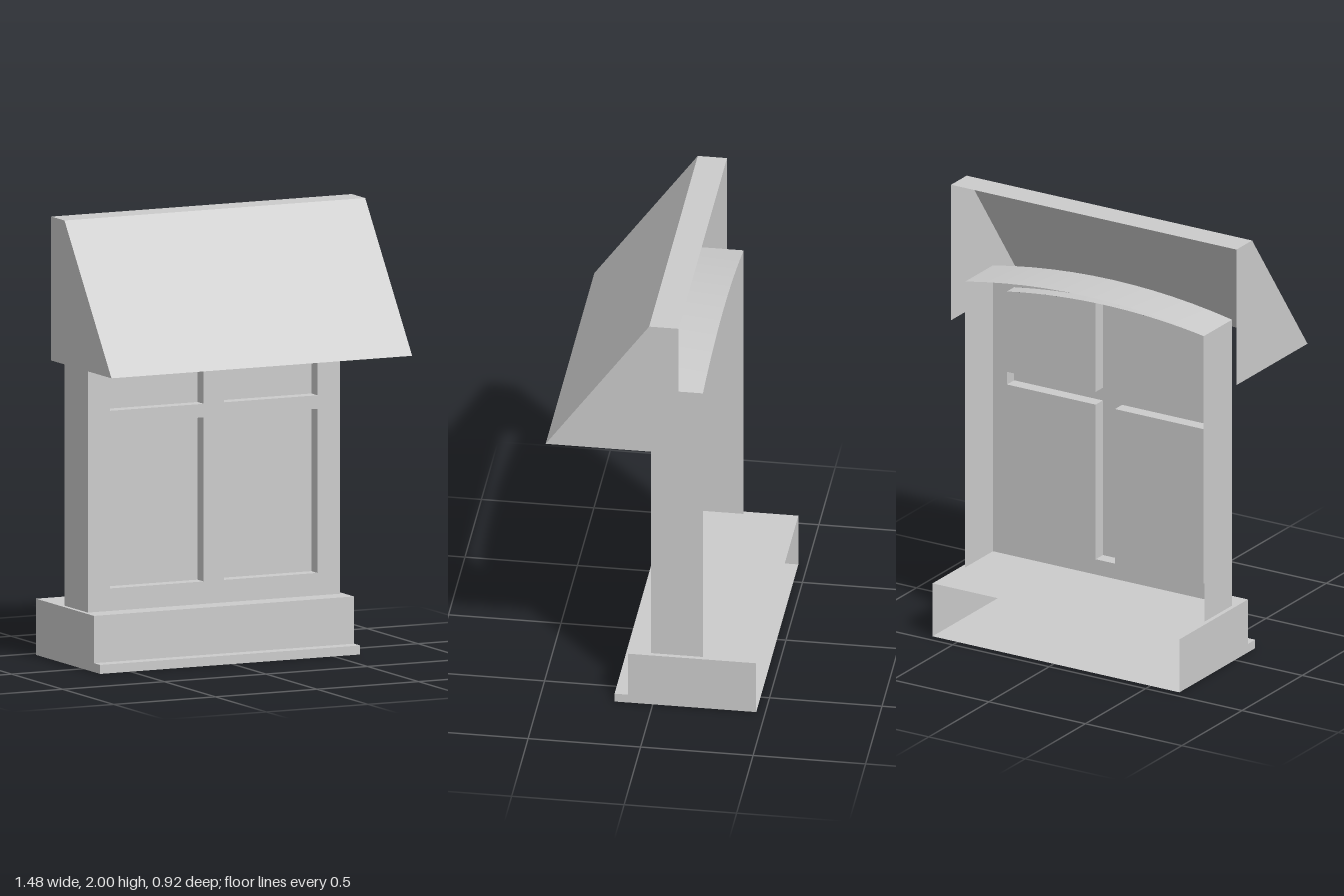
import * as THREE from 'three';
import { toCreasedNormals } from 'three/addons/utils/BufferGeometryUtils.js';

const material = new THREE.MeshStandardMaterial({ color: 0xcccccc, side: THREE.DoubleSide });

function add(parent, name, geometry) {
  const mesh = new THREE.Mesh(geometry, material);
  mesh.name = name;
  parent.add(mesh);
  return mesh;
}

// Sweeps an open path of [x, y, z] points along a straight vector
function sweep(path, [vx, vy, vz]) {
  const position = [], index = [];
  path.forEach(([x, y, z], i) => {
    position.push(x, y, z, x + vx, y + vy, z + vz);
    const a = 2 * i;
    if (i > 0) index.push(a - 2, a, a + 1, a - 2, a + 1, a - 1);
  });
  const g = new THREE.BufferGeometry();
  g.setAttribute('position', new THREE.Float32BufferAttribute(position, 3));
  g.setIndex(index);
  return toCreasedNormals(g, 0.4);
}

const shapeOf = (points) => new THREE.Shape(points.map(([x, y]) => new THREE.Vector2(x, y)));

// Hollow body with a [z, y] profile, closed at both x ends, open where the profile is open
function hollow(name, profile, x0, x1) {
  const group = new THREE.Group();
  group.name = name;
  add(group, name + 'Shell', sweep(profile.map(([z, y]) => [x0, y, z]), [x1 - x0, 0, 0]));
  for (const [side, x] of [[1, x1], [-1, x0]]) {
    const end = new THREE.ShapeGeometry(shapeOf(profile.map(([z, y]) => [-side * z, y])));
    end.rotateY(side * Math.PI / 2).translate(x, 0, 0);
    add(group, name + 'End', end);
  }
  return group;
}

// Shallow arch over the window
const MID = -0.01, HALF = 0.62;
const archY = (x, drop = 0) => 1.6 - drop + 0.06 * (1 - ((x - MID) / HALF) ** 2);
function archPoints(x0, x1, drop, n = 8) {
  return Array.from({ length: n + 1 }, (_, i) => {
    const x = x0 + (x1 - x0) * i / n;
    return [x, archY(x, drop)];
  });
}

function createWindow() {
  const group = new THREE.Group();
  group.name = 'window';
  const front = 0.01, depth = 0.23, recess = 0.06, base = 0.25;
  const low = 0.35, bar0 = 1.08, bar1 = 1.14, drop = 0.1;
  const xl = MID - HALF, xr = MID + HALF, ol = -0.52, or = 0.5;
  const at = (points) => points.map(([x, y]) => [x, y, front]);

  // Sides and arched top
  const outline = [[xl, base], ...archPoints(xl, xr, 0, 12), [xr, base]];
  add(group, 'frameSurround', sweep(at(outline), [0, 0, -depth]));

  // Front sheet with four openings, a pane behind each
  const face = shapeOf(outline);
  for (const [x0, x1] of [[ol, -0.06], [0.04, or]]) {
    const lower = [[x0, low], [x1, low], [x1, bar0], [x0, bar0]];
    const upper = [[x0, bar1], [x1, bar1], ...archPoints(x1, x0, drop)];
    for (const pane of [lower, upper]) {
      face.holes.push(shapeOf(pane));
      add(group, 'pane', new THREE.ShapeGeometry(shapeOf(pane))).position.z = front - recess;
    }
    // Edges of the glazing bars
    const isLeft = x0 > 0;
    const inner = isLeft ? x0 : x1, outer = isLeft ? x1 : x0;
    const lowEdge = [[outer, bar0], [inner, bar0], [inner, low]];
    const highEdge = [[inner, archY(inner, drop)], [inner, bar1], [outer, bar1]];
    for (const edge of [lowEdge, highEdge]) {
      const path = isLeft ? edge : edge.reverse();
      add(group, 'glazingBarEdge', sweep(at(path), [0, 0, -recess]));
    }
  }
  add(group, 'frameFront', new THREE.ShapeGeometry(face)).position.z = front;

  // Reveal round the whole opening
  const opening = [[ol, low], [or, low], ...archPoints(or, ol, drop, 16), [ol, low]];
  add(group, 'openingReveal', sweep(at(opening), [0, 0, -recess]));
  return group;
}

export function createModel() {
  const model = new THREE.Group();
  model.name = 'windowWithAwning';
  // Sill with a low front lip, open at the back
  model.add(hollow('sill',
    [[-0.46, 0.25], [0.11, 0.25], [0.11, 0.04], [0.17, 0.04], [0.17, 0], [-0.46, 0]], -0.65, 0.63));
  model.add(createWindow());
  // Sloping awning, open at the back and underneath
  const awning = hollow('awning', [[-0.13, 2], [0, 2], [0.46, 1.36]], -0.74, 0.74);
  // The ends reach down to the lower edge at the back
  for (const end of awning.children.filter((m) => m.name === 'awningEnd')) {
    const side = Math.sign(end.geometry.attributes.position.getX(0));
    const outline = [[-0.13, 2], [0, 2], [0.46, 1.36], [-0.13, 1.36]];
    end.geometry = new THREE.ShapeGeometry(shapeOf(outline.map(([z, y]) => [-side * z, y])));
    end.geometry.rotateY(side * Math.PI / 2).translate(side * 0.74, 0, 0);
  }
  model.add(awning);
  return model;
}
